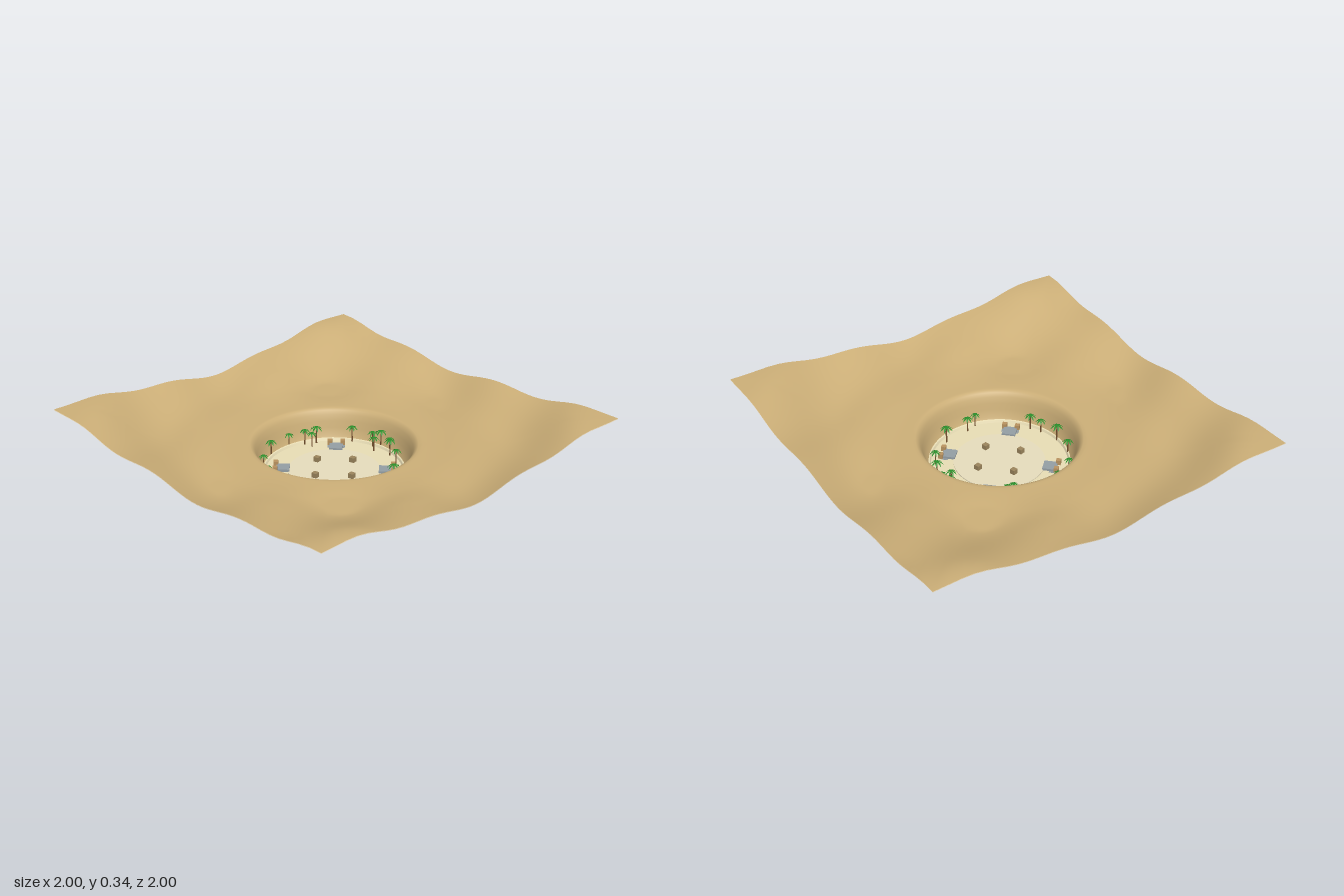
import * as THREE from 'three';
import { toCreasedNormals, mergeGeometries } from 'three/addons/utils/BufferGeometryUtils.js';

const mat = (name, color, side = THREE.FrontSide) => {
  const m = new THREE.MeshStandardMaterial({ color, side });
  m.name = name;
  return m;
};

// Dune height: a flat middle that climbs to the corners, with slanting ripples
function duneHeight(x, z) {
  const r = Math.hypot(x, z), { smoothstep } = THREE.MathUtils;
  const fade = smoothstep(r, 0.42, 0.85) * (1 - smoothstep(r, 1.15, 1.45));
  const wave = 0.016 * Math.cos(4.5 * x + 10 * z) + 0.012 * Math.cos(11.6 * x + 3.5 * z);
  return Math.max(0.177 + 0.155 * smoothstep(r, 0.64, 1.4) + wave * fade, 0.168);
}

// Rings that start at the basin foot and morph into the square border
function terrainGeometry() {
  const seg = 160, outer = 44;
  const wall = [[0.358, 0.018], [0.372, 0.04], [0.383, 0.08], [0.39, 0.115], [0.4, 0.148], [0.412, 0.168], [0.425, 0.176]];
  const rows = wall.length + outer, pos = [], idx = [];
  for (let i = 0; i < rows; i++) {
    for (let j = 0; j < seg; j++) {
      const a = (j / seg) * Math.PI * 2, c = Math.cos(a), s = Math.sin(a);
      if (i < wall.length) {
        pos.push(c * wall[i][0], wall[i][1], s * wall[i][0]);
      } else {
        const edge = 1 / Math.max(Math.abs(c), Math.abs(s));
        const r = THREE.MathUtils.lerp(0.425, edge, (i - wall.length + 1) / outer);
        pos.push(c * r, duneHeight(c * r, s * r), s * r);
      }
      if (i < rows - 1) {
        const n = (j + 1) % seg, p = i * seg;
        idx.push(p + j, p + n, p + seg + j, p + n, p + seg + n, p + seg + j);
      }
    }
  }
  const g = new THREE.BufferGeometry();
  g.setAttribute('position', new THREE.Float32BufferAttribute(pos, 3));
  g.setIndex(idx);
  g.computeVertexNormals();
  return g;
}

// Eight drooping tapered fronds
function frondsGeometry() {
  const parts = [];
  for (let i = 0; i < 8; i++) {
    const g = new THREE.PlaneGeometry(0.03, 0.009, 3, 1).rotateX(-Math.PI / 2).translate(0.015, 0, 0);
    const p = g.attributes.position;
    for (let k = 0; k < p.count; k++) {
      const t = p.getX(k) / 0.03;
      p.setY(k, 0.006 * t - 0.022 * t * t);
      p.setZ(k, p.getZ(k) * (t > 0.9 ? 0.15 : 0.6 + t * 0.6));
    }
    g.computeVertexNormals();
    parts.push(g.rotateY((i / 8) * Math.PI * 2));
  }
  return mergeGeometries(parts);
}

export function createModel() {
  const model = new THREE.Group();
  const sand = mat('dune sand', 0xcbae77, THREE.DoubleSide);
  const bedrock = mat('pale bedrock', 0xdccbaa, THREE.DoubleSide);
  const cream = mat('pale stone', 0xe7dcb4, THREE.DoubleSide);
  const floorMat = mat('floor stone', 0xe5dbbb, THREE.DoubleSide);
  const slate = mat('blue grey', 0x939da3);
  const wood = mat('crate brown', 0xb8925f);
  const darkWood = mat('court crate brown', 0x9a845c);
  const trunkMat = mat('trunk brown', 0x75512f);
  const leaf = mat('palm green', 0x2a8f2a, THREE.DoubleSide);

  const add = (name, geo, material, parent = model) => {
    const m = new THREE.Mesh(geo, material);
    m.name = name;
    parent.add(m);
    return m;
  };
  const box = (name, w, h, d, x, y, z, material, parent = model) => {
    const m = add(name, new THREE.BoxGeometry(w, h, d), material, parent);
    m.position.set(x, y, z);
    return m;
  };
  const lathe = (name, pts, material) =>
    add(name, toCreasedNormals(new THREE.LatheGeometry(pts.map(p => new THREE.Vector2(...p)), 96), 0.6), material);

  // Sand on top, pale rock just below it
  const terrain = terrainGeometry();
  add('dunes', terrain, sand);
  add('duneUnderside', terrain, bedrock).position.y = -0.004;

  // Stepped outer shell of the basin
  const steps = [];
  const n = 12;
  for (let i = 0; i < n; i++) {
    const r = 0.362 + 0.05 * Math.pow(i / (n - 1), 0.6);
    steps.push([r, 0.003 + (i / n) * 0.163], [r, 0.003 + ((i + 1) / n) * 0.163]);
  }
  lathe('basinShell', steps, cream);

  // Basin floor: terrace with a pale foot, around a slightly raised court
  lathe('terrace', [[0.362, 0.032], [0.355, 0.03], [0.35, 0.018], [0.235, 0.018]], cream);
  lathe('court', [[0.235, 0.015], [0.235, 0.023], [0, 0.023]], floorMat);
  add('basinUnderside', new THREE.RingGeometry(0.235, 0.362, 96).rotateX(Math.PI / 2), bedrock).position.y = 0.003;
  add('courtRim', new THREE.CylinderGeometry(0.235, 0.235, 0.006, 96, 1, true), sand).position.y = 0.006;
  add('courtUnderside', new THREE.CircleGeometry(0.235, 96).rotateX(Math.PI / 2), bedrock).position.y = 0.009;

  // Crates in the court
  for (let i = 0; i < 4; i++) {
    const a = (i * Math.PI) / 2;
    const c = box('courtCrate', 0.028, 0.026, 0.028, 0.13 * Math.cos(a), 0.035, 0.13 * Math.sin(a), darkWood);
    c.rotation.y = 0.25;
  }

  // Four low diagonal platforms on T-shaped footings, each with two crates
  for (let i = 0; i < 4; i++) {
    const hut = new THREE.Group();
    hut.name = 'platform';
    hut.rotation.y = Math.PI / 4 + (i * Math.PI) / 2;
    box('platformTop', 0.07, 0.012, 0.07, 0.262, 0.026, 0, slate, hut);
    box('footingBar', 0.03, 0.02, 0.09, 0.278, 0.01, 0, slate, hut);
    box('footingStub', 0.05, 0.02, 0.03, 0.242, 0.01, 0, slate, hut);
    for (const s of [-1, 1]) box('platformCrate', 0.024, 0.026, 0.024, 0.3, 0.035, s * 0.034, wood, hut);
    model.add(hut);
  }

  // Palms along the basin wall
  const palms = [
    [0.015, -0.365], [0.095, -0.33], [0.15, -0.3], [0.105, -0.285], [-0.13, -0.34], [-0.25, -0.26], [-0.33, -0.135],
    [-0.353, -0.005], [-0.325, 0.1], [-0.295, 0.155], [-0.07, 0.34], [-0.01, 0.32], [0.135, 0.295], [0.285, 0.16],
    [0.33, 0.07], [0.368, 0.03], [0.34, -0.07], [0.367, -0.035], [0.305, -0.025], [0.3, -0.185],
  ];
  const trunkGeo = new THREE.CylinderGeometry(0.0025, 0.004, 0.08, 6).translate(0, 0.04, 0);
  const frondGeo = frondsGeometry();
  palms.forEach(([x, z], i) => {
    const palm = new THREE.Group();
    palm.name = 'palm';
    palm.position.set(x, 0.018, z);
    palm.rotation.y = i * 1.3;
    palm.scale.setScalar(0.9 + 0.25 * ((i * 7) % 5) / 4);
    add('trunk', trunkGeo, trunkMat, palm);
    add('fronds', frondGeo, leaf, palm).position.y = 0.081;
    model.add(palm);
  });

  return model;
}
